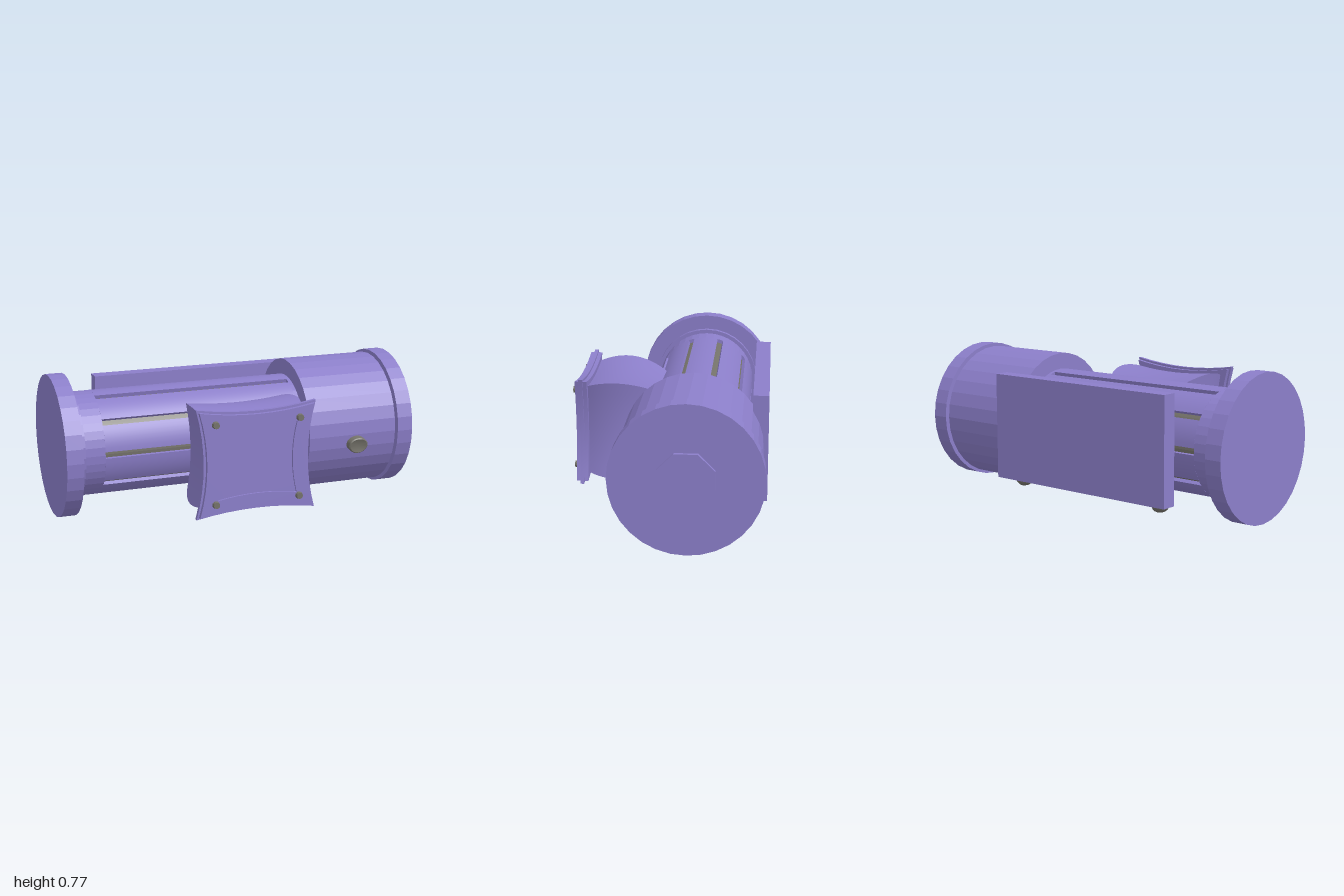
import * as THREE from 'three';
import { toCreasedNormals } from 'three/addons/utils/BufferGeometryUtils.js';

const purple = new THREE.MeshStandardMaterial({ color: 0x8b7ec9 });
purple.name = 'purple shell';
const grey = new THREE.MeshStandardMaterial({ color: 0x74726a });
grey.name = 'grey metal';

const AXIS_Y = 0.39, AXIS_Z = -0.135, PLATE_X = -0.055;

export function createModel() {
  const group = new THREE.Group();

  const add = (name, geometry, material, x = 0, y = 0, z = 0, crease = 0.1) => {
    const mesh = new THREE.Mesh(toCreasedNormals(geometry, crease), material);
    mesh.name = name;
    mesh.position.set(x, y, z);
    group.add(mesh);
    return mesh;
  };

  // Faceted drum along the main axis, from x0 to x1
  const drum = (name, x0, x1, radius, material = purple, sides = 32, turn = 0) => {
    const g = new THREE.CylinderGeometry(radius, radius, x1 - x0, sides);
    g.rotateY(turn).rotateZ(-Math.PI / 2);
    return add(name, g, material, (x0 + x1) / 2, AXIS_Y, AXIS_Z);
  };

  drum('leftEndFlange', -1, -0.91, 0.387);
  drum('leftCollar', -0.91, -0.88, 0.305);
  drum('tubeLeftEnd', -0.88, -0.77, 0.283, purple, 40);
  drum('tubeRightEnd', 0.34, 0.37, 0.283, purple, 40);
  drum('slotCore', -0.78, 0.35, 0.263, grey, 40);
  drum('motorHousing', 0.36, 0.88, 0.371);
  drum('rightCollar', 0.88, 0.89, 0.31);
  drum('rightEndFlange', 0.89, 0.98, 0.387);
  drum('endCap', 0.98, 1, 0.154, purple, 8, Math.PI / 8);

  // Ten tube panels with slots between them
  for (let i = 0; i < 10; i++) {
    const a = i * Math.PI / 5 + 0.062, b = (i + 1) * Math.PI / 5 - 0.062;
    const s = new THREE.Shape();
    s.absarc(0, 0, 0.283, a, b, false);
    s.absarc(0, 0, 0.25, b, a, true);
    const g = new THREE.ExtrudeGeometry(s, { depth: 1.11, bevelEnabled: false, curveSegments: 3 });
    g.rotateY(Math.PI / 2);
    add('tubePanel', g, purple, -0.77, AXIS_Y, AXIS_Z);
  }

  // Rectangle with inward-curving sides
  const pincushion = (w, h, inX, inY, Type = THREE.Shape) => {
    const s = new Type();
    s.moveTo(-w, -h);
    s.quadraticCurveTo(0, -h + 2 * inY, w, -h);
    s.quadraticCurveTo(w - 2 * inX, 0, w, h);
    s.quadraticCurveTo(0, h - 2 * inY, -w, h);
    s.quadraticCurveTo(-w + 2 * inX, 0, -w, -h);
    return s;
  };
  const slab = (shape, depth, steps = 1) =>
    new THREE.ExtrudeGeometry(shape, { depth, steps, bevelEnabled: false, curveSegments: 8 });

  // Bulging neck between tube and front plate
  const neck = slab(pincushion(0.3, 0.27, 0.025, 0.02), 0.4, 14);
  const p = neck.attributes.position;
  for (let i = 0; i < p.count; i++) {
    const f = 1 - 0.1 * ((p.getZ(i) + 0.05 - 0.3) / 0.15) ** 2;
    p.setXY(i, p.getX(i) * f, p.getY(i) * f);
  }
  add('frontNeck', neck, purple, PLATE_X, AXIS_Y, 0.05, 0.5);

  // Layered front plate with a shallow recess
  add('plateBackLayer', slab(pincushion(0.317, 0.28, 0.04, 0.03), 0.022), purple, PLATE_X, AXIS_Y, 0.446, 0.5);
  add('plateMiddleLayer', slab(pincushion(0.33, 0.293, 0.04, 0.03), 0.021), purple, PLATE_X, AXIS_Y, 0.468, 0.5);
  const face = pincushion(0.317, 0.28, 0.04, 0.03);
  face.holes.push(pincushion(0.22, 0.195, 0.025, 0.02, THREE.Path));
  add('plateFrontFrame', slab(face, 0.021), purple, PLATE_X, AXIS_Y, 0.489, 0.5);
  add('plateRecess', slab(pincushion(0.24, 0.21, 0.02, 0.015), 0.01), purple, PLATE_X, AXIS_Y, 0.489, 0.5);

  // Plate screws
  for (const sx of [-1, 1]) for (const sy of [-1, 1]) {
    const g = new THREE.CylinderGeometry(0.017, 0.021, 0.025, 12).rotateX(Math.PI / 2);
    add('plateScrew', g, grey, PLATE_X + sx * 0.232, AXIS_Y + sy * 0.213, 0.516, 0.5);
  }

  // Oval dished knob on the motor housing
  const v = (x, y) => new THREE.Vector2(x, y);
  const knob = new THREE.LatheGeometry(
    [v(0, -0.03), v(0.045, -0.03), v(0.045, 0.032), v(0.04, 0.037), v(0.034, 0.035), v(0, 0.028)], 20);
  knob.scale(1.27, 1, 1).rotateX(Math.PI / 2 + 0.14);
  add('housingKnob', knob, grey, 0.64, 0.338, 0.233, 0.5);

  // Rear mounting plate and its domed bolts
  add('rearPlate', new THREE.BoxGeometry(1.145, 0.573, 0.083), purple, -0.0975, 0.391, -0.4855);
  for (const x of [-0.575, 0.365]) {
    const bolt = new THREE.LatheGeometry(
      [v(0, 0), v(0.05, 0), v(0.05, 0.018), v(0.046, 0.035), v(0.034, 0.048), v(0.018, 0.055), v(0, 0.057)], 16);
    bolt.rotateX(-Math.PI / 2);
    add('rearBolt', bolt, grey, x, 0.106, -0.42, 0.7);
  }

  return group;
}
